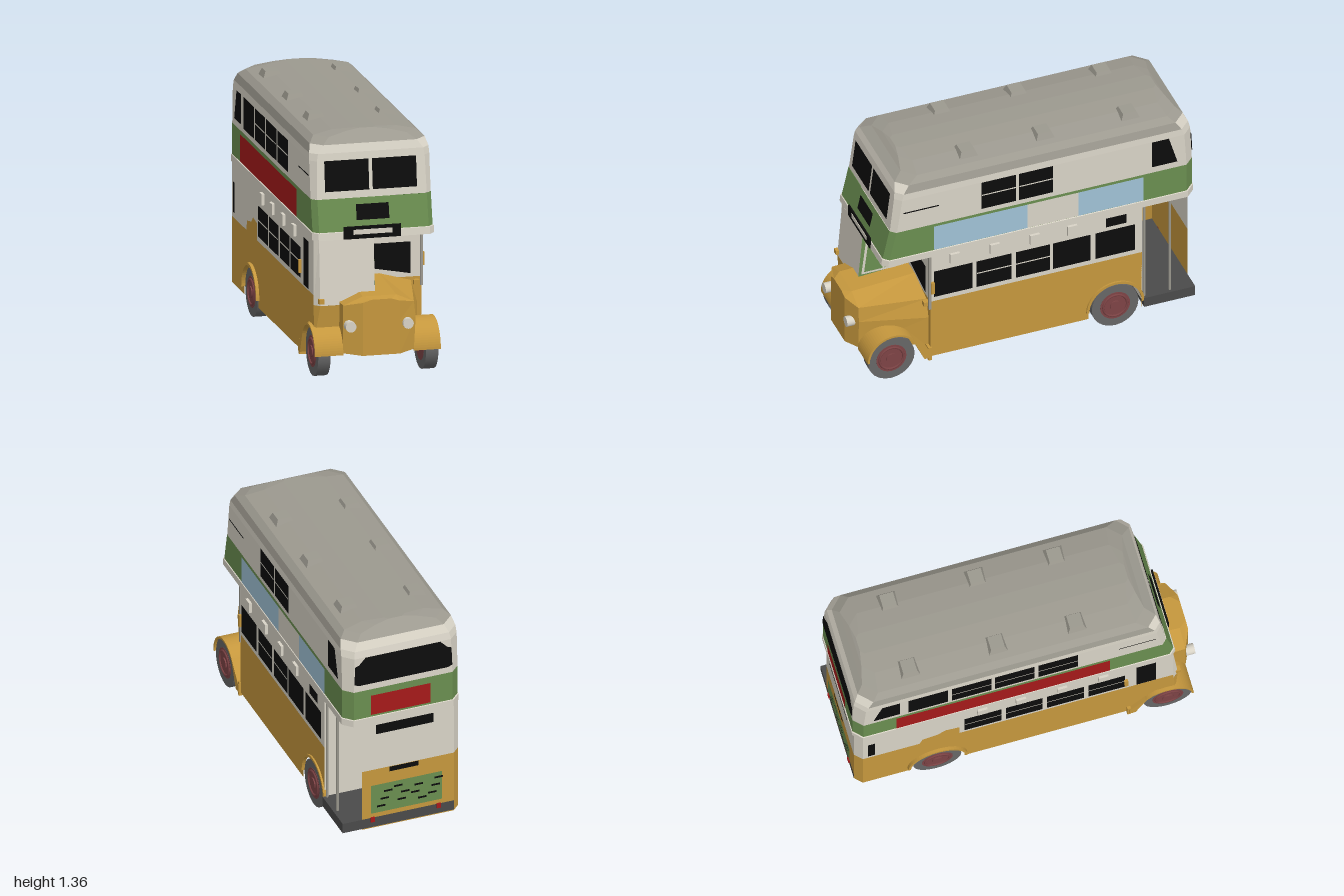
import * as THREE from 'three';

const mat = (name, color) => new THREE.MeshStandardMaterial({ name, color, side: THREE.DoubleSide });

export function createModel() {
  const bus = new THREE.Group();
  bus.name = 'doubleDeckerBus';
  const cream = mat('cream', 0xd8d3c6), grey = mat('roofGrey', 0x9c998f), yellow = mat('ochre', 0xc5973d);
  const green = mat('green', 0x6a8e50), black = mat('black', 0x0c0c0c), red = mat('red', 0xa51a1a);
  const blue = mat('paleBlue', 0xa0c2d6), maroon = mat('maroon', 0x7d4345), rubber = mat('rubber', 0x666666);
  const dark = mat('platformGrey', 0x4a4a4a);

  const add = (name, geo, m, parent = bus) => {
    const mesh = new THREE.Mesh(geo, m);
    mesh.name = name;
    parent.add(mesh);
    return mesh;
  };
  const fromTris = (tris) => {
    const g = new THREE.BufferGeometry();
    g.setAttribute('position', new THREE.Float32BufferAttribute(tris.flat(), 3));
    g.computeVertexNormals();
    return g;
  };
  // Flat polygon from corner points
  const poly = (name, m, pts) => {
    const t = [];
    for (let i = 1; i < pts.length - 1; i++) t.push(pts[0], pts[i], pts[i + 1]);
    return add(name, fromTris(t), m);
  };
  const box = (name, m, x0, x1, y0, y1, z0, z1) =>
    add(name, new THREE.BoxGeometry(x1 - x0, y1 - y0, z1 - z0), m)
      .position.set((x0 + x1) / 2, (y0 + y1) / 2, (z0 + z1) / 2);
  // Plates on a side (s = +1 or -1), the back and the front
  const side = (name, m, s, pts, d = 0.343) => poly(name, m, pts.map(([z, y]) => [s * d, y, z]).slice()[s > 0 ? 'slice' : 'reverse']());
  const sideRect = (name, m, s, za, zb, y0, y1, d) => side(name, m, s, [[za, y0], [zb, y0], [zb, y1], [za, y1]], d);
  const backRect = (name, m, x0, x1, y0, y1, z = -0.988) =>
    poly(name, m, [[x1, y0, z], [x0, y0, z], [x0, y1, z], [x1, y1, z]]);
  const frontZ = (y) => 0.004 + (y < 0.99 ? 0.84 - (y - 0.81) * 0.222 : 0.797 - (y - 0.99) * 0.123);
  const frontRect = (name, m, x0, x1, y0, y1) =>
    poly(name, m, [[x0, y0, frontZ(y0)], [x1, y0, frontZ(y0)], [x1, y1, frontZ(y1)], [x0, y1, frontZ(y1)]]);

  // Upper deck: rings of eight points [y, front z, back z, half width, front chamfer, back chamfer]
  const ring = ([y, zf, zb, hw, cf, cb]) => [
    [hw, y, zf - cf], [hw, y, zb + cb], [hw - cb, y, zb], [cb - hw, y, zb],
    [-hw, y, zb + cb], [-hw, y, zf - cf], [cf - hw, y, zf], [hw - cf, y, zf]];
  const loft = (name, m, rows, facets = [0, 1, 2, 3, 4, 5, 6, 7]) => {
    const t = [];
    for (let r = 0; r < rows.length - 1; r++) {
      const a = ring(rows[r]), b = ring(rows[r + 1]);
      for (const i of facets) {
        const j = (i + 1) % 8;
        t.push(a[i], a[j], b[j], a[i], b[j], b[i]);
      }
    }
    return add(name, fromTris(t), m);
  };
  loft('beltRail', cream, [[0.77, 0.85, -0.99, 0.345, 0.03, 0.05], [0.81, 0.845, -0.99, 0.345, 0.03, 0.05], [0.812, 0.84, -0.985, 0.34, 0.03, 0.05]]);
  loft('greenBand', green, [[0.81, 0.84, -0.985, 0.34, 0.03, 0.05], [0.99, 0.8, -0.985, 0.34, 0.03, 0.05]]);
  const r0 = [1.24, 0.766, -0.967, 0.338, 0.04, 0.06], r1 = [1.285, 0.752, -0.945, 0.325, 0.06, 0.07];
  const r2 = [1.315, 0.7, -0.91, 0.29, 0.07, 0.07];
  loft('upperWalls', cream, [[0.99, 0.797, -0.985, 0.34, 0.03, 0.05], [1.2, 0.771, -0.977, 0.34, 0.035, 0.055], r0]);
  loft('domeEnds', cream, [r0, r1], [1, 2, 3, 5, 6, 7]);
  loft('roofSides', grey, [r0, r1], [0, 4]);
  const top = [1.346, 0.66, -0.87, 0.06, 0.02, 0.02];
  loft('roof', grey, [r1, r2, [1.336, 0.675, -0.885, 0.18, 0.06, 0.06], top]);
  poly('roofCrown', grey, ring(top));
  poly('upperFloor', cream, ring([0.772, 0.85, -0.99, 0.343, 0.03, 0.05]).reverse());
  for (const x of [-0.2, 0.2]) for (const z of [-0.64, -0.14, 0.31]) {
    const vent = new THREE.CylinderGeometry(0.055, 0.078, 0.04, 4).rotateY(Math.PI / 4).toNonIndexed();
    vent.computeVertexNormals();
    add('roofVent', vent, grey).position.set(x, 1.338, z);
  }

  // Lower side walls with wheel cut-outs
  const lowerWall = (s, back, front) => {
    const p = new THREE.Shape();
    p.moveTo(back, 0.085).lineTo(-0.67, 0.085);
    p.absarc(-0.515, 0.13, 0.155, Math.PI, 0, true);
    p.lineTo(-0.36, 0.085).lineTo(0.57, 0.085);
    if (s < 0) p.lineTo(0.61, 0.085).lineTo(0.65, 0.22).lineTo(0.73, 0.29).lineTo(0.84, 0.29);
    p.lineTo(front, 0.46).lineTo(back, 0.46);
    add('lowerSide', new THREE.ShapeGeometry(p, 16).rotateY(-Math.PI / 2), yellow).position.x = s * 0.34;
    sideRect('windowBand', cream, s, front, back, 0.46, 0.77, 0.34);
  };
  lowerWall(1, -0.672, 0.57);
  lowerWall(-1, -0.94, 0.83);

  // Rear wall, left open beside the platform
  for (const [m, y0, y1] of [[yellow, 0.085, 0.46], [cream, 0.46, 0.77]]) {
    backRect('rearWall', m, -0.3, 0.24, y0, y1, -0.98);
    poly('rearCorner', m, [[-0.3, y0, -0.98], [-0.34, y0, -0.94], [-0.34, y1, -0.94], [-0.3, y1, -0.98]]);
    poly('frontBulkhead', m, [[-0.34, y0, 0.57], [0.34, y0, 0.57], [0.34, y1, 0.57], [-0.34, y1, 0.57]]);
  }
  box('rearBulkhead', cream, 0.08, 0.34, 0.14, 0.77, -0.675, -0.667);
  box('platform', dark, -0.3, 0.355, 0.09, 0.15, -0.98, -0.68);
  for (const z of [-0.69, -0.84]) add('platformPole', new THREE.CylinderGeometry(0.008, 0.008, 0.66, 8), grey).position.set(0.33, 0.45, z);
  box('bulkheadEdge', grey, 0.33, 0.345, 0.41, 0.77, 0.565, 0.58);
  box('frontValance', yellow, -0.355, 0.35, 0.065, 0.15, 0.565, 0.585);

  // Half cab on the driver's side
  poly('cabFront', cream, [[-0.31, 0.405, 0.865], [0, 0.405, 0.865], [0, 0.77, 0.835], [-0.31, 0.77, 0.835]]);
  poly('cabCorner', cream, [[-0.34, 0.405, 0.83], [-0.31, 0.405, 0.865], [-0.31, 0.77, 0.835], [-0.34, 0.77, 0.81]]);
  poly('cabApron', yellow, [[-0.34, 0.2, 0.84], [0, 0.2, 0.866], [0, 0.405, 0.866], [-0.31, 0.405, 0.866], [-0.34, 0.405, 0.83]]);
  side('cabInnerGlass', green, 1, [[0.865, 0.44], [0.57, 0.44], [0.57, 0.77], [0.835, 0.77]], 0);
  side('cabFrameFront', cream, 1, [[0.845, 0.49], [0.83, 0.49], [0.8, 0.73], [0.815, 0.73]], 0.003);
  for (const [a, b, c, d] of [[0.722, 0.71, 0.49, 0.73], [0.608, 0.596, 0.49, 0.73], [0.815, 0.596, 0.722, 0.734], [0.845, 0.596, 0.484, 0.496]])
    sideRect('cabFrame', cream, 1, a, b, c, d, 0.003);
  poly('bulkheadWindow', black, [[0.01, 0.53, 0.574], [0.275, 0.48, 0.574], [0.275, 0.66, 0.574], [0.01, 0.66, 0.574]]);

  // Bonnet: cross-sections from the bulkhead to the nose
  const sections = [
    [0.57, [[-0.2, 0.15], [-0.21, 0.43], [-0.08, 0.49], [0.1, 0.49], [0.28, 0.44], [0.31, 0.33], [0.31, 0.15]]],
    [0.94, [[-0.2, 0.15], [-0.2, 0.42], [-0.09, 0.465], [0.1, 0.465], [0.2, 0.42], [0.21, 0.33], [0.2, 0.15]]],
    [0.985, [[-0.1, 0.14], [-0.1, 0.44], [-0.05, 0.455], [0.06, 0.455], [0.11, 0.44], [0.11, 0.33], [0.11, 0.14]]],
  ].map(([z, pts]) => pts.map(([x, y]) => [x, y, z]));
  const skin = [];
  for (let s = 0; s < 2; s++) for (let i = 0; i < 6; i++) {
    const [a, b] = [sections[s], sections[s + 1]];
    skin.push(a[i], b[i], b[i + 1], a[i], b[i + 1], a[i + 1]);
  }
  add('bonnet', fromTris(skin), yellow);
  poly('radiator', yellow, sections[2].slice().reverse());
  for (const x of [-0.17, 0.155])
    add('headlamp', new THREE.CylinderGeometry(0.03, 0.03, 0.05, 16).rotateX(Math.PI / 2), cream).position.set(x, 0.31, 0.973);
  box('sideLampRight', yellow, -0.32, -0.29, 0.418, 0.445, 0.85, 0.88);
  box('sideLampLeft', yellow, 0.29, 0.32, 0.418, 0.445, 0.57, 0.6);

  // Wings and wheels
  const extrudeX = (name, shape, x0, x1) => add(name,
    new THREE.ExtrudeGeometry(shape, { depth: x1 - x0, bevelEnabled: false, curveSegments: 14 }).rotateY(-Math.PI / 2), yellow).position.x = x1;
  const wing = new THREE.Shape();
  wing.moveTo(0.575, 0.085).lineTo(0.575, 0.13);
  wing.absarc(0.79, 0.14, 0.153, 2.5, 0, true);
  wing.absarc(0.79, 0.14, 0.141, 0, 2.75, false);
  wing.lineTo(0.61, 0.085);
  extrudeX('frontWingLeft', wing, 0.2, 0.352);
  extrudeX('frontWingRight', wing, -0.36, -0.2);
  const flare = new THREE.Shape();
  flare.absarc(-0.515, 0.13, 0.17, Math.PI, 0, true);
  flare.absarc(-0.515, 0.13, 0.155, 0, Math.PI, false);
  extrudeX('rearArchLeft', flare, 0.33, 0.35);
  extrudeX('rearArchRight', flare, -0.358, -0.33);
  for (const s of [1, -1]) for (const z of [0.8, -0.515]) {
    const wheel = new THREE.Group();
    wheel.name = 'wheel';
    wheel.position.set(s * 0.305, 0.137, z);
    const disc = (name, r, w, m) => add(name, new THREE.CylinderGeometry(r, r, w, 24).rotateZ(Math.PI / 2), m, wheel);
    disc('tyre', 0.137, 0.07, rubber);
    disc('rim', 0.088, 0.074, maroon);
    disc('hub', 0.032, 0.088, maroon);
    add('rimRing', new THREE.TorusGeometry(0.07, 0.007, 6, 24).rotateY(Math.PI / 2), maroon, wheel).position.x = s * 0.037;
    bus.add(wheel);
  }
  add('frontAxle', new THREE.CylinderGeometry(0.02, 0.02, 0.56, 8).rotateZ(Math.PI / 2), rubber).position.set(0, 0.13, 0.8);

  // Side windows: [front z, back z, bottom, top, split line]
  const glaze = (s, list) => list.forEach(([a, b, y0, y1, split]) => {
    sideRect('sideWindow', black, s, a, b, y0, y1);
    if (split) sideRect('glazingBar', cream, s, a, b, split - 0.004, split + 0.004, 0.346);
  });
  glaze(1, [[0.55, 0.325, 0.49, 0.665], [0.3, 0.095, 0.49, 0.665, 0.585], [0.07, -0.13, 0.49, 0.665, 0.585], [-0.15, -0.37, 0.49, 0.665],
    [-0.4, -0.63, 0.49, 0.665], [-0.46, -0.58, 0.69, 0.75], [0.27, 0.07, 1.02, 1.2, 1.115], [0.05, -0.15, 1.02, 1.2, 1.115], [0.73, 0.52, 1.11, 1.118]]);
  glaze(-1, [[0.73, 0.62, 0.47, 0.74], [-0.87, -0.91, 0.49, 0.665], [0.73, 0.52, 1.11, 1.118]]);
  for (let i = 0; i < 4; i++) {
    const low = -0.36 + i * 0.235, high = -0.68 + i * 0.247;
    glaze(-1, [[low + 0.21, low, 0.49, 0.665, 0.585], [high + 0.225, high, 1.02, 1.2, i ? 1.115 : 0]]);
  }
  for (const s of [1, -1]) {
    side('rearQuarterWindow', black, s, [[-0.73, 1.03], [-0.88, 1.03], [-0.83, 1.2], [-0.73, 1.2]]);
    for (const z of [0.43, 0.195, -0.04, -0.26]) box('sideVent', cream, s * 0.347 - 0.009, s * 0.347 + 0.009, 0.7, 0.762, z - 0.028, z + 0.028);
    box('indicator', yellow, s * 0.345 - 0.01, s * 0.345 + 0.01, 0.52, 0.595, 0.55, 0.57);
  }
  for (const [a, b] of [[-0.69, -0.77], [-0.79, -0.89]]) sideRect('platformWindow', black, -1, a, b, 0.49, 0.665, 0.337);
  side('stairPanel', yellow, -1, [[-0.39, 0.46], [-0.62, 0.46], [-0.6, 0.52], [-0.52, 0.53], [-0.47, 0.57], [-0.39, 0.56]]);

  // Painted side panels
  sideRect('sidePanelFront', blue, 1, 0.55, 0, 0.815, 0.975);
  sideRect('sidePanelMiddle', cream, 1, 0, -0.3, 0.815, 0.975);
  sideRect('sidePanelRear', blue, 1, -0.3, -0.68, 0.815, 0.975);
  sideRect('sidePanelRed', red, -1, 0.47, -0.75, 0.815, 0.97);

  // Front details
  frontRect('frontWindowRight', black, -0.265, -0.015, 1.03, 1.2);
  frontRect('frontWindowLeft', black, 0.005, 0.255, 1.03, 1.2);
  frontRect('destinationBox', black, -0.095, 0.09, 0.87, 0.955);
  box('routeBox', black, -0.175, 0.15, 0.77, 0.84, 0.845, 0.854);
  box('routePlate', cream, -0.12, 0.1, 0.795, 0.822, 0.85, 0.857);

  // Rear details
  poly('rearUpperWindow', black, [[0.26, 1.03, -0.989], [-0.26, 1.03, -0.989], [-0.26, 1.16, -0.984], [-0.22, 1.2, -0.981], [0.22, 1.2, -0.981], [0.26, 1.16, -0.984]]);
  for (const s of [1, -1])
    poly('rearCornerWindow', black, [[s * 0.26, 1.03, -0.989], [s * 0.288, 1.04, -0.989], [s * 0.285, 1.15, -0.984], [s * 0.26, 1.16, -0.984]]);
  backRect('rearPanelRed', red, -0.16, 0.19, 0.825, 0.95);
  backRect('rearStrip', black, -0.18, 0.16, 0.69, 0.75, -0.984);
  backRect('numberPanel', black, -0.09, 0.08, 0.43, 0.46, -0.984);
  backRect('rearPanelGreen', green, -0.23, 0.19, 0.18, 0.36, -0.984);
  for (let i = 0; i < 12; i++) {
    const x = 0.13 - (i % 4) * 0.1 - (i % 3) * 0.02, y = 0.215 + Math.floor(i / 4) * 0.045 + (i % 2) * 0.018;
    backRect('panelMark', black, x - 0.025, x + 0.025, y, y + 0.012, -0.987);
  }
  for (const x of [-0.21, 0.18]) box('tailLamp', red, x - 0.012, x + 0.012, 0.125, 0.155, -0.988, -0.98);
  return bus;
}
